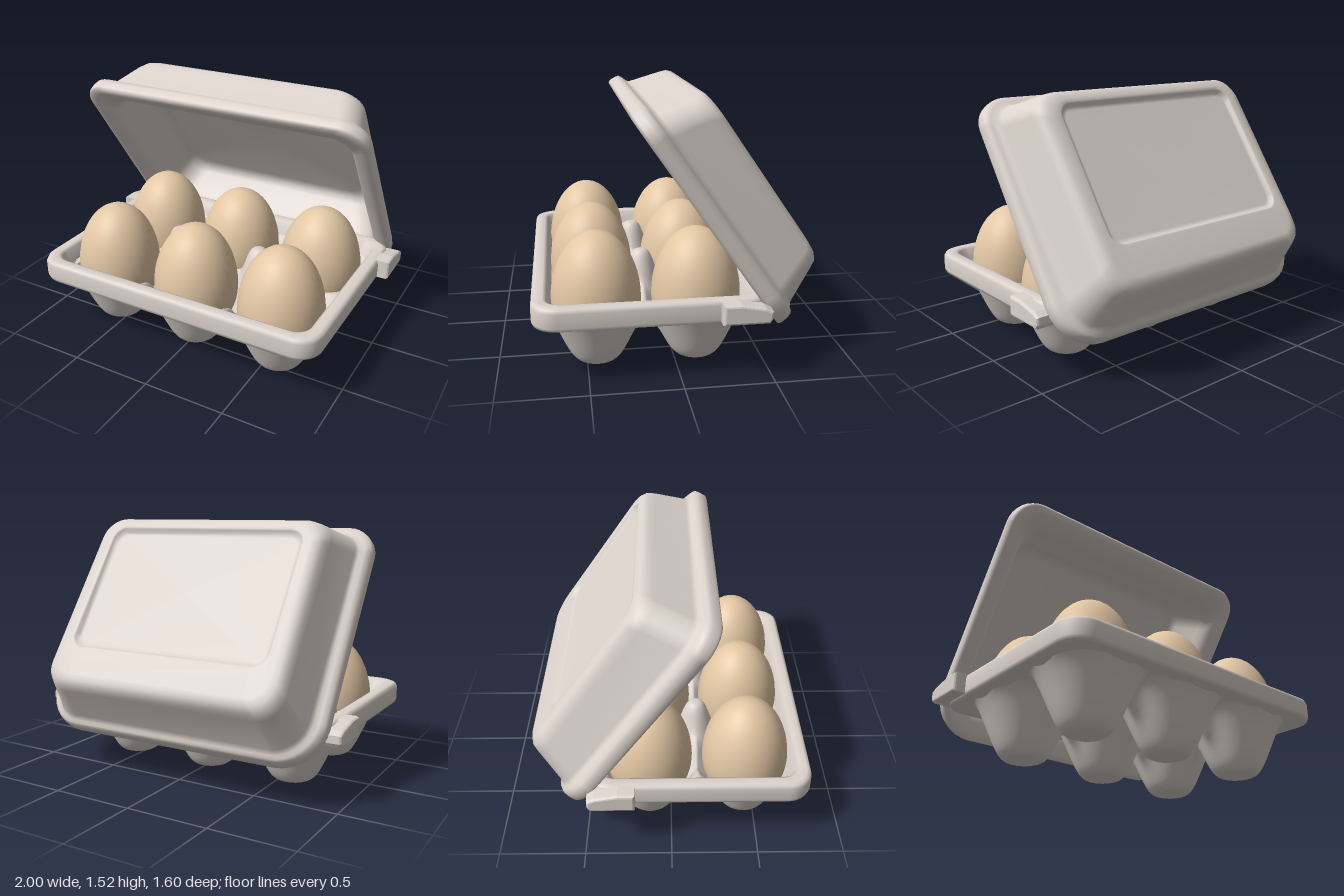
import * as THREE from 'three';

// Surface through rounded-rectangle rings: [halfX, halfZ, cornerRadius, y, zOffset, backCornerRadius]
function loftRings(rings, cornerSteps = 8) {
  const pos = [], idx = [], n = 4 * (cornerSteps + 1);
  for (const [hx, hz, rFront, y, cz = 0, rBack = rFront] of rings) {
    for (let c = 0; c < 4; c++) {
      const sx = c === 0 || c === 3 ? 1 : -1, sz = c < 2 ? 1 : -1, r = c < 2 ? rFront : rBack;
      for (let s = 0; s <= cornerSteps; s++) {
        const a = (c + s / cornerSteps) * Math.PI / 2;
        pos.push(sx * (hx - r) + r * Math.cos(a), y, cz + sz * (hz - r) + r * Math.sin(a));
      }
    }
  }
  for (let i = 0; i < rings.length - 1; i++) {
    for (let j = 0; j < n; j++) {
      const a = i * n + j, b = i * n + (j + 1) % n, c = a + n, d = b + n;
      idx.push(a, c, b, b, c, d);
    }
  }
  const g = new THREE.BufferGeometry();
  g.setAttribute('position', new THREE.Float32BufferAttribute(pos, 3));
  g.setIndex(idx);
  g.computeVertexNormals();
  return g;
}

const CUP_X = [-0.57, 0, 0.57], CUP_Z = [-0.285, 0.285];
const softRamp = (v) => 0.02 * Math.log(1 + Math.exp(v / 0.02));

// Height of the moulded tray sheet: cups, low saddles between them, two posts
function trayHeight(x, z) {
  let d = Infinity;
  for (const cx of CUP_X) for (const cz of CUP_Z) d = Math.min(d, Math.hypot(x - cx, z - cz));
  let h = 2.35 * (softRamp(d - 0.137) - softRamp(d - 0.297));
  const dip = (sx, sz) => { h -= 0.075 * Math.exp(-((x - sx) ** 2 + (z - sz) ** 2) / 0.004); };
  for (const cx of CUP_X) dip(cx, 0);
  for (const sx of [-0.285, 0.285]) {
    for (const cz of CUP_Z) dip(sx, cz);
    h += 0.175 * Math.exp(-((Math.hypot(x - sx, z) / 0.09) ** 4));
  }
  return Math.max(h, 0);
}

export function createModel() {
  const pulp = new THREE.MeshStandardMaterial({ color: 0xdcd3cc, side: THREE.DoubleSide });
  pulp.name = 'pulp';
  const shell = new THREE.MeshStandardMaterial({ color: 0xe3c7a4 });
  shell.name = 'eggshell';

  const model = new THREE.Group();
  model.name = 'eggCarton';
  const add = (parent, geometry, material, name) => {
    const m = new THREE.Mesh(geometry, material);
    m.name = name;
    parent.add(m);
    return m;
  };

  // Tray, centred on its own origin
  const tray = new THREE.Group();
  tray.name = 'tray';
  tray.position.z = 0.155;
  model.add(tray);

  const cups = new THREE.PlaneGeometry(1.7, 1.13, 130, 88).rotateX(-Math.PI / 2);
  const p = cups.attributes.position;
  for (let i = 0; i < p.count; i++) p.setY(i, trayHeight(p.getX(i), p.getZ(i)));
  cups.computeVertexNormals();
  add(tray, cups, pulp, 'cups');

  add(tray, loftRings([
    [0.81, 0.53, 0.10, 0.345],
    [0.90, 0.62, 0.12, 0.33],
    [0.922, 0.64, 0.14, 0.335],
    [0.93, 0.645, 0.14, 0.355],
    [0.93, 0.645, 0.14, 0.435],
    [0.922, 0.637, 0.14, 0.455],
    [0.905, 0.62, 0.13, 0.462],
    [0.865, 0.58, 0.10, 0.462],
    [0.845, 0.56, 0.09, 0.45],
    [0.82, 0.535, 0.09, 0.37],
  ]), pulp, 'trayRim');

  // Hinge tabs on both sides, drawn as (-z, y) and extruded along x
  const tabShape = new THREE.Shape();
  tabShape.moveTo(0.22, 0.36);
  tabShape.lineTo(0.45, 0.36);
  tabShape.lineTo(0.46, 0.375);
  tabShape.lineTo(0.46, 0.405);
  tabShape.lineTo(0.43, 0.42);
  tabShape.lineTo(0.30, 0.445);
  tabShape.lineTo(0.22, 0.445);
  for (const side of [-1, 1]) {
    const g = new THREE.ExtrudeGeometry(tabShape, {
      depth: 0.10, bevelEnabled: true, bevelSize: 0.015, bevelThickness: 0.02, bevelSegments: 3,
    });
    g.translate(0, 0, -0.05).rotateY(Math.PI / 2);
    add(model, g, pulp, side < 0 ? 'rightHingeTab' : 'leftHingeTab').position.x = side * 0.93;
  }

  // Lid: one closed shell, inside ceiling to lip to outside panel, tilted open
  const lid = add(model, loftRings([
    [0, 0, 0, 0.94],
    [0.64, 0.44, 0.10, 0.94],
    [0.69, 0.49, 0.13, 0.925],
    [0.72, 0.52, 0.14, 0.89],
    [0.785, 0.56, 0.14, 0.72],
    [0.80, 0.573, 0.13, 0.665],
    [0.83, 0.62, 0.13, 0.63, 0, 0.16],
    [0.88, 0.69, 0.14, 0.605, 0, 0.21],
    [0.915, 0.728, 0.15, 0.602, 0, 0.24],
    [0.93, 0.74, 0.17, 0.62, 0, 0.26],
    [0.93, 0.737, 0.17, 0.66, 0, 0.26],
    [0.92, 0.73, 0.16, 0.688, 0, 0.25],
    [0.895, 0.71, 0.15, 0.704, -0.01, 0.23],
    [0.868, 0.688, 0.14, 0.711, -0.015, 0.21],
    [0.85, 0.668, 0.13, 0.732, -0.01, 0.19],
    [0.785, 0.60, 0.13, 0.93, 0.002, 0.15],
    [0.767, 0.583, 0.14, 0.975, 0.005],
    [0.74, 0.558, 0.14, 0.999, 0.008],
    [0.70, 0.52, 0.12, 1.006, 0.008],
    [0.66, 0.425, 0.09, 1.006, 0.085],
    [0.65, 0.415, 0.08, 1.0, 0.085],
    [0.64, 0.40, 0.07, 0.982, 0.085],
    [0.62, 0.38, 0.06, 0.978, 0.085],
    [0, 0, 0, 0.978, 0.085],
  ]).translate(0, 0, 0.585), pulp, 'lid');
  lid.rotation.x = -0.964;

  // Eggs: blunt end down
  const profile = [];
  for (let i = 0; i <= 24; i++) {
    const a = -Math.PI / 2 + Math.PI * i / 24;
    const y = Math.sin(a);
    profile.push(new THREE.Vector2(Math.max(0, 0.255 * Math.cos(a)), 0.37 + y * (y > 0 ? 0.4 : 0.31)));
  }
  const eggGeometry = new THREE.LatheGeometry(profile, 36);
  const eggs = new THREE.Group();
  eggs.name = 'eggs';
  eggs.position.x = 0.006;
  tray.add(eggs);
  for (const x of CUP_X) for (const z of CUP_Z) add(eggs, eggGeometry, shell, 'egg').position.set(x, 0, z);

  return model;
}
